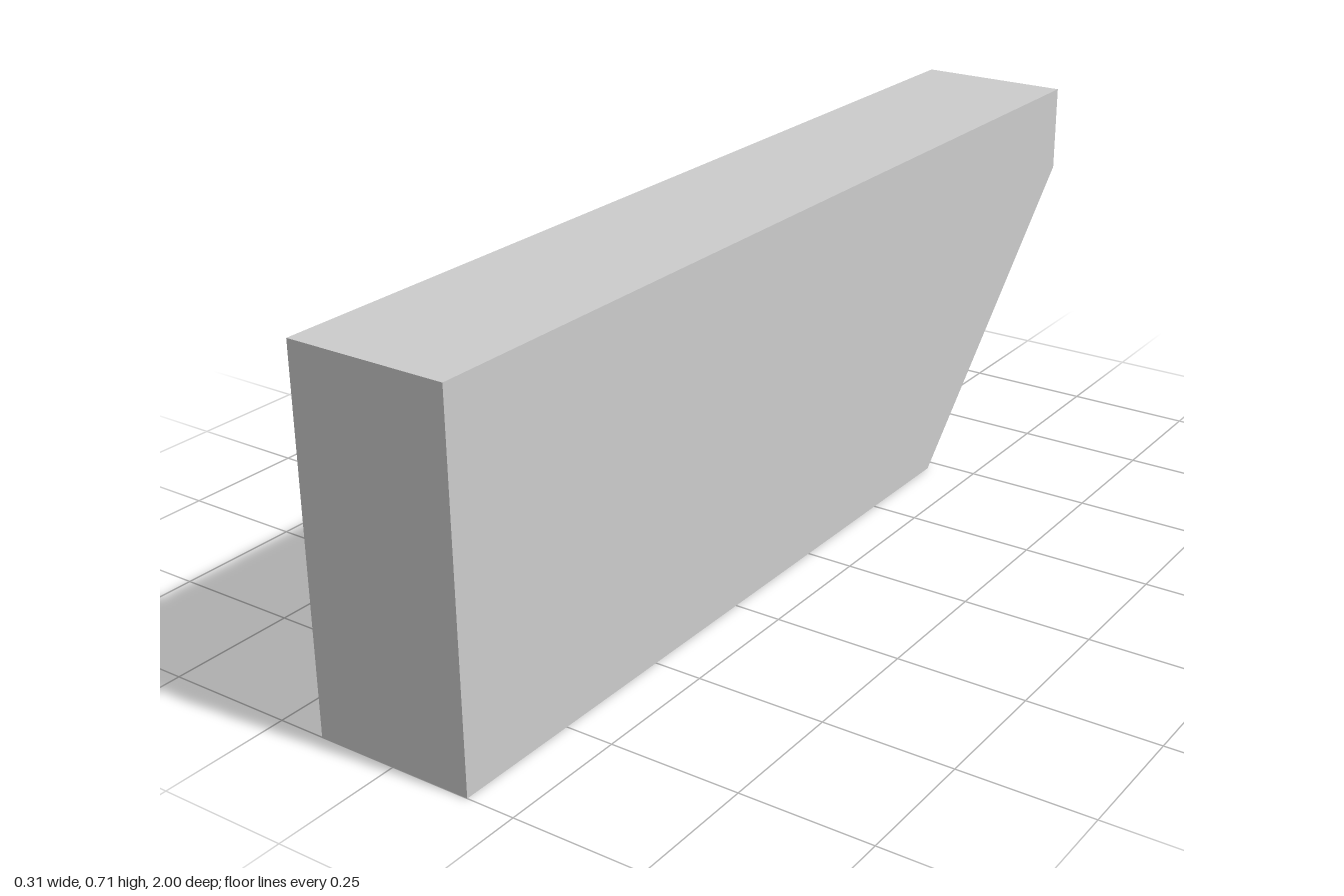
import * as THREE from 'three';

export function createModel() {
  const group = new THREE.Group();
  group.name = 'chamferedBeam';

  const width = 0.314;
  const height = 0.706;

  // Side profile (z, y): a rectangle with its lower back corner cut at 45 degrees
  const profile = new THREE.Shape([
    new THREE.Vector2(1, 0),
    new THREE.Vector2(1, height),
    new THREE.Vector2(-1, height),
    new THREE.Vector2(-1, 0.53),
    new THREE.Vector2(-0.47, 0),
  ]);

  // Extrude across the width, then turn the profile's x axis onto z
  const geometry = new THREE.ExtrudeGeometry(profile, { depth: width, bevelEnabled: false });
  geometry.translate(0, 0, -width / 2);
  geometry.rotateY(-Math.PI / 2);

  const beam = new THREE.Mesh(
    geometry,
    new THREE.MeshStandardMaterial({ color: 0xcccccc, flatShading: true })
  );
  beam.name = 'beam';
  group.add(beam);
  return group;
}
